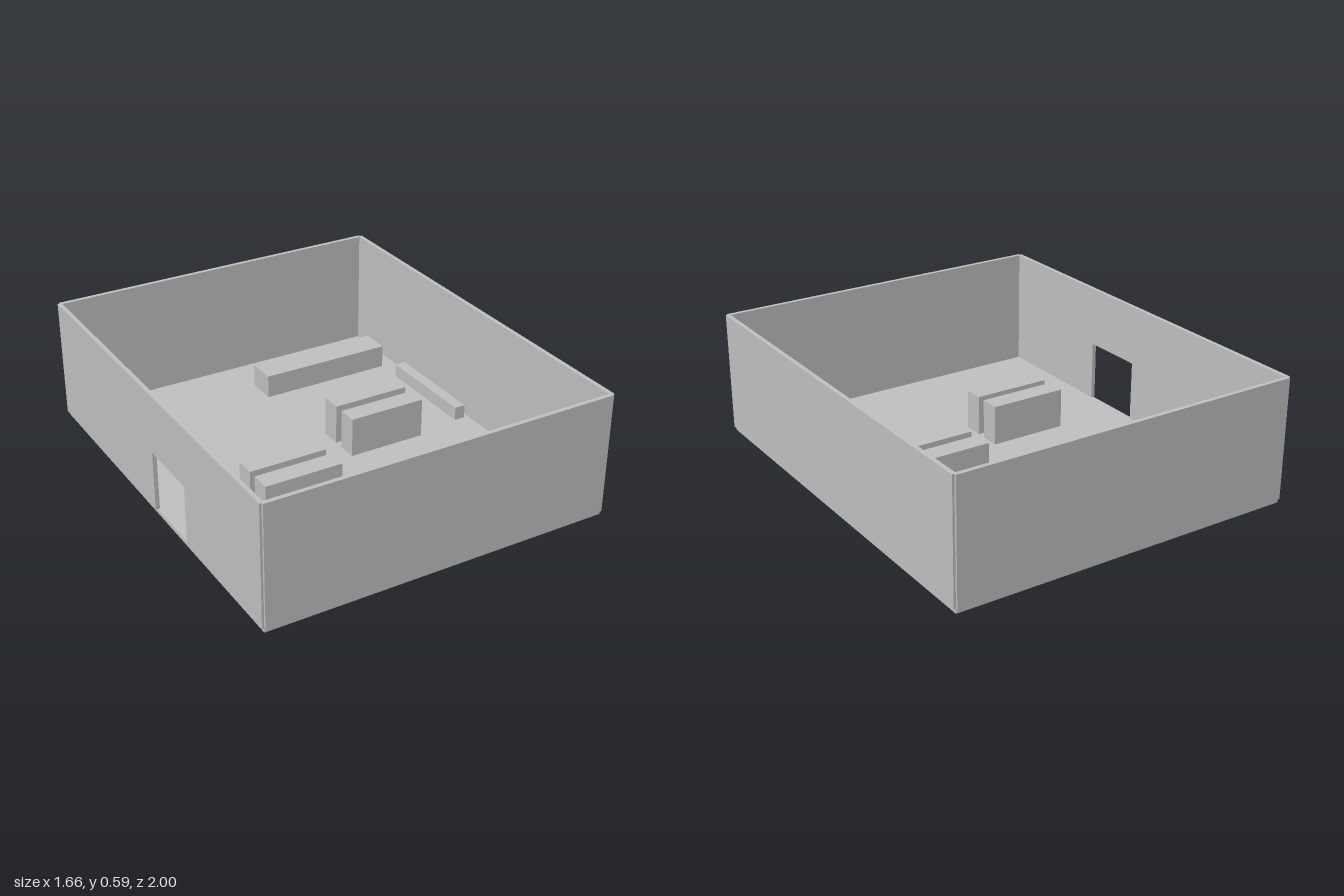
import * as THREE from 'three';

const FLOOR = 0.02, TOP = 0.587, THICK = 0.02;

export function createModel() {
  const group = new THREE.Group();
  const plaster = new THREE.MeshStandardMaterial({ color: 0xc0c0c0 });
  plaster.name = 'plain grey';

  const add = (name, geometry) => {
    const mesh = new THREE.Mesh(geometry, plaster);
    mesh.name = name;
    group.add(mesh);
    return mesh;
  };

  // Box given by its extents on each axis
  const block = (name, x0, x1, y0, y1, z0, z1) =>
    add(name, new THREE.BoxGeometry(x1 - x0, y1 - y0, z1 - z0))
      .position.set((x0 + x1) / 2, (y0 + y1) / 2, (z0 + z1) / 2);

  // Floor slab and solid walls, with small notches at the corners
  block('floor', -0.82, 0.82, 0, FLOOR, -0.99, 0.99);
  block('frontWall', -0.82, 0.82, FLOOR, TOP, 0.98, 1);
  block('backWall', -0.82, 0.82, FLOOR, TOP, -1, -0.98);
  block('leftWall', 0.81, 0.83, FLOOR, TOP, -0.99, 0.99);

  // Right wall with a doorway down to the floor; shape runs along z
  const doorway = { z0: 0.025, z1: 0.335, top: 0.305 };
  const wall = new THREE.Shape([
    [-0.99, FLOOR], [doorway.z0, FLOOR], [doorway.z0, doorway.top],
    [doorway.z1, doorway.top], [doorway.z1, FLOOR], [0.99, FLOOR],
    [0.99, TOP], [-0.99, TOP],
  ].map(([z, y]) => new THREE.Vector2(-z, y)));
  const wallGeometry = new THREE.ExtrudeGeometry(wall, { depth: THICK, bevelEnabled: false });
  wallGeometry.rotateY(Math.PI / 2);
  add('rightWallWithDoorway', wallGeometry).position.x = -0.83;

  // Two pairs of free-standing shelves
  for (const [x0, x1, z0] of [
    [0.135, 0.513, -0.172], [0.135, 0.513, -0.03],
    [-0.476, -0.1, 0.135], [-0.476, -0.1, 0.273],
  ]) block('shelf', x0, x1, FLOOR, 0.21, z0, z0 + 0.096);

  // Counter near the back and low bench by the left wall
  block('counter', 0.074, 0.735, FLOOR, 0.133, -0.767, -0.622);
  block('bench', 0.735, 0.788, FLOOR, 0.085, -0.497, 0.026);

  return group;
}
